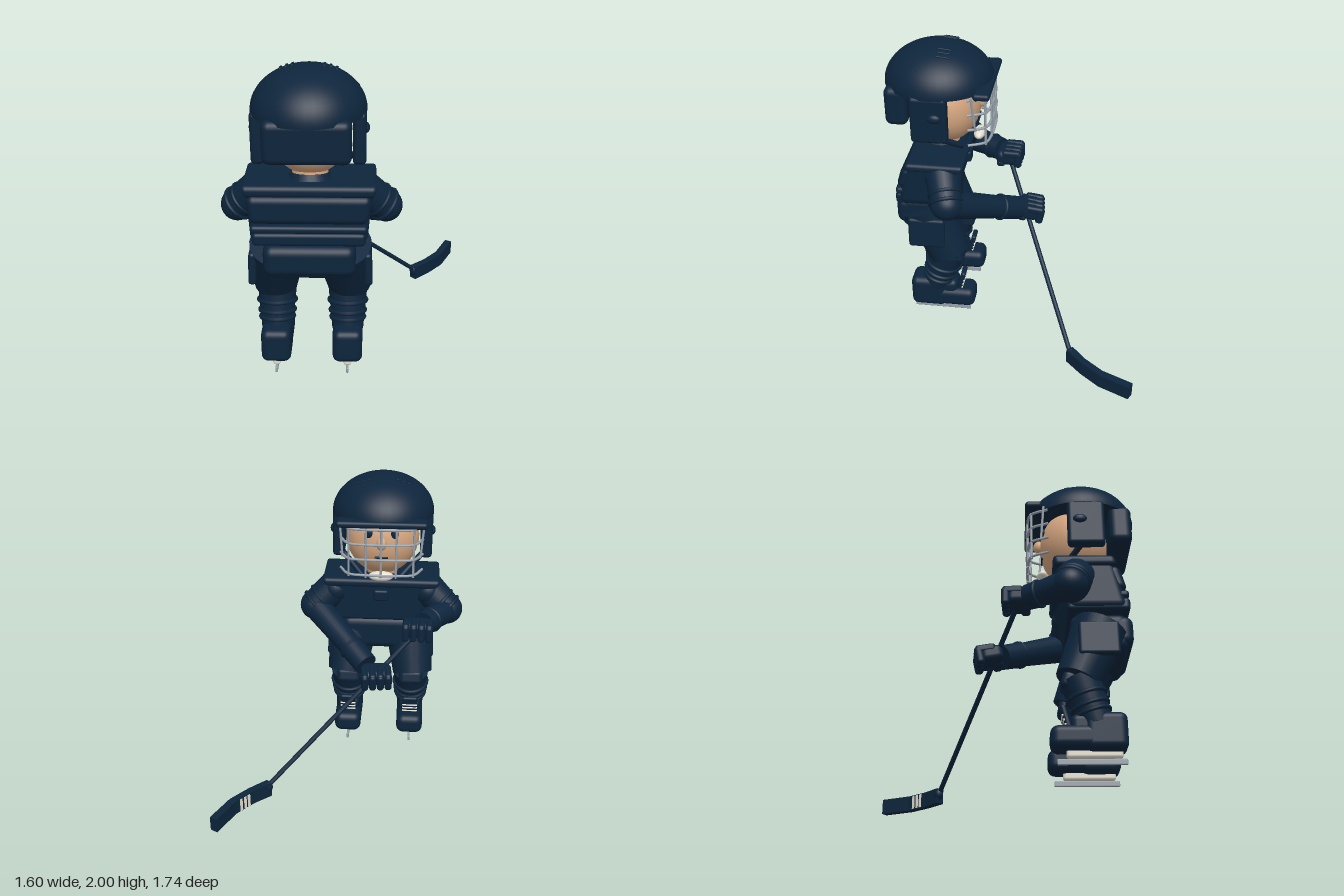
import * as THREE from 'three';
import { RoundedBoxGeometry } from 'three/addons/geometries/RoundedBoxGeometry.js';

const flat = (name, color) => {
  const m = new THREE.MeshStandardMaterial({ color });
  m.name = name;
  return m;
};
const V = (x, y, z) => new THREE.Vector3(x, y, z);

export function createModel() {
  const navy = flat('navy', 0x0d253c);
  const skin = flat('skin', 0xd6a781);
  const ivory = flat('ivory', 0xe4dfd0);
  const steel = flat('steel', 0x98a2ac);
  const CX = -0.23; // body centre line

  const root = new THREE.Group();
  root.name = 'hockeyPlayer';

  const group = (name, parent = root) => {
    const g = new THREE.Group();
    g.name = name;
    parent.add(g);
    return g;
  };
  const add = (parent, name, geo, mat, x = 0, y = 0, z = 0) => {
    const m = new THREE.Mesh(geo, mat);
    m.name = name;
    m.position.set(x, y, z);
    parent.add(m);
    return m;
  };
  const box = (parent, name, [w, h, d], [x, y, z], r = 0.03, mat = navy) =>
    add(parent, name, new RoundedBoxGeometry(w, h, d, 3, r), mat, x, y, z);
  const ball = (parent, name, [rx, ry, rz], [x, y, z], mat = navy) => {
    const m = add(parent, name, new THREE.SphereGeometry(1, 32, 20), mat, x, y, z);
    m.scale.set(rx, ry, rz);
    return m;
  };
  // Aligns a geometry's y axis with the line from a to b
  const along = (m, a, b) => {
    m.quaternion.setFromUnitVectors(V(0, 1, 0), b.clone().sub(a).normalize());
    return m;
  };
  const limb = (parent, name, a, b, ra, rb, mat = navy, sides = 24) => {
    const c = a.clone().lerp(b, 0.5);
    const geo = new THREE.CylinderGeometry(rb, ra, a.distanceTo(b), sides);
    return along(add(parent, name, geo, mat, c.x, c.y, c.z), a, b);
  };
  const band = (parent, name, a, b, t, r, tube = 0.014) => {
    const c = a.clone().lerp(b, t);
    const geo = new THREE.TorusGeometry(r, tube, 8, 28).rotateX(Math.PI / 2);
    return along(add(parent, name, geo, navy, c.x, c.y, c.z), a, b);
  };

  // ---- Head and face ----
  const head = group('head');
  ball(head, 'face', [0.25, 0.27, 0.225], [CX, 1.58, 0.465], skin);
  ball(head, 'nose', [0.035, 0.045, 0.04], [CX, 1.595, 0.235], skin);
  for (const s of [-1, 1]) {
    ball(head, 'eye', [0.026, 0.032, 0.012], [CX + s * 0.085, 1.655, 0.262]);
    const brow = box(head, 'eyebrow', [0.08, 0.016, 0.016], [CX + s * 0.09, 1.705, 0.275], 0.006);
    brow.rotation.z = s * 0.12;
  }
  box(head, 'mouth', [0.09, 0.014, 0.012], [CX, 1.49, 0.252], 0.005);
  limb(head, 'neck', V(CX, 1.26, 0.5), V(CX, 1.4, 0.48), 0.11, 0.11, skin);

  // ---- Helmet ----
  const helmet = group('helmet');
  const dome = add(helmet, 'dome',
    new THREE.SphereGeometry(1, 40, 16, 0, Math.PI * 2, 0, Math.PI / 2), navy, CX, 1.735, 0.51);
  dome.scale.set(0.345, 0.262, 0.36);
  const rim = add(helmet, 'domeUnderside', new THREE.CircleGeometry(1, 40).rotateX(Math.PI / 2), navy, CX, 1.736, 0.51);
  rim.scale.copy(dome.scale);
  box(helmet, 'brim', [0.6, 0.045, 0.11], [CX, 1.753, 0.195], 0.02);
  box(helmet, 'brimSeam', [0.02, 0.05, 0.1], [CX, 1.757, 0.2], 0.008);
  box(helmet, 'backPad', [0.515, 0.265, 0.15], [CX, 1.63, 0.76], 0.045);
  for (const s of [-1, 1]) {
    box(helmet, 'earPad', [0.08, 0.32, 0.24], [CX + s * 0.3, 1.59, 0.53], 0.025);
    ball(helmet, 'earButton', [0.025, 0.032, 0.046], [CX + s * 0.335, 1.61, 0.49]);
    limb(helmet, 'chinStrap', V(CX + s * 0.3, 1.46, 0.51), V(CX + s * 0.13, 1.315, 0.35), 0.02, 0.02);
    // Three vent slots on each side of the crown
    for (const i of [-1, 0, 1]) {
      const x = s * 0.13 + i * 0.036;
      const y = 1.735 + 0.262 * Math.sqrt(1 - (x / 0.345) ** 2 - 0.028);
      const vent = box(helmet, 'vent', [0.016, 0.012, 0.09], [CX + x, y, 0.45], 0.005);
      vent.rotation.set(-0.12, 0, -x * 2);
    }
  }
  const strapEnd = box(helmet, 'chinStrapBase', [0.26, 0.025, 0.05], [CX, 1.318, 0.36], 0.01);
  strapEnd.rotation.x = 0.3;
  ball(helmet, 'chinCup', [0.085, 0.034, 0.04], [CX, 1.357, 0.253], ivory);

  // ---- Face cage ----
  const cage = group('faceCage');
  for (const y of [1.72, 1.615, 1.51, 1.4]) {
    const path = new THREE.CatmullRomCurve3(
      [[-0.275, 0.29], [-0.215, 0.18], [-0.1, 0.157], [0.1, 0.157], [0.215, 0.18], [0.275, 0.29]]
        .map(([x, z]) => V(CX + x, y, z)));
    add(cage, 'crossBar', new THREE.TubeGeometry(path, 30, 0.009, 8), steel);
  }
  for (const [x, z] of [[-0.215, 0.18], [-0.1, 0.157], [0, 0.157], [0.1, 0.157], [0.215, 0.18]])
    limb(cage, 'uprightBar', V(CX + x, 1.385, z), V(CX + x, 1.74, z), 0.008, 0.008, steel, 8);
  for (const s of [-1, 1])
    limb(cage, 'sideBar', V(CX + s * 0.26, 1.5, 0.24), V(CX + s * 0.28, 1.74, 0.26), 0.008, 0.008, steel, 8);

  // ---- Jersey: boxes widened and leaned back as they go down ----
  const body = group('torso');
  const slab = (name, w, y0, y1, zFront, zBack, flare, lean, r) => {
    const h = y1 - y0;
    const geo = new RoundedBoxGeometry(w, h, zBack - zFront, 4, r);
    const p = geo.attributes.position;
    for (let i = 0; i < p.count; i++) {
      const t = 0.5 - p.getY(i) / h;
      p.setX(i, p.getX(i) * (1 + flare * t));
      p.setZ(i, p.getZ(i) + lean * (t - 0.5));
    }
    return add(body, name, geo, navy, CX, (y0 + y1) / 2, (zFront + zBack) / 2);
  };
  slab('chest', 0.76, 0.96, 1.29, 0.36, 0.73, -0.08, 0.08, 0.05);
  slab('shoulderYoke', 0.82, 1.235, 1.305, 0.31, 0.7, -0.05, 0.02, 0.03);
  slab('upperBackPanel', 0.75, 1.09, 1.25, 0.37, 0.745, -0.07, 0.05, 0.04);
  slab('jerseyBand', 0.7, 1.035, 1.085, 0.38, 0.775, 0, 0, 0.022);
  slab('jerseyHem', 0.68, 0.955, 1.04, 0.39, 0.78, 0, 0, 0.025);
  limb(body, 'collar', V(CX, 1.28, 0.5), V(CX, 1.318, 0.49), 0.14, 0.12);
  box(body, 'chestPatch', [0.1, 0.08, 0.04], [CX, 1.18, 0.33], 0.015);

  // ---- Shorts and legs ----
  box(body, 'pelvis', [0.56, 0.25, 0.36], [CX, 0.84, 0.59], 0.06);
  box(body, 'tailPad', [0.56, 0.2, 0.18], [CX, 0.85, 0.71], 0.055);
  for (const s of [-1, 1]) {
    const leg = group(s > 0 ? 'leftLeg' : 'rightLeg');
    leg.position.x = CX + s * 0.228;
    const hip = V(-s * 0.03, 0.88, 0.6), hem = V(s * 0.01, 0.52, 0.445);
    limb(leg, 'shortsLeg', hem, hip, 0.14, 0.18);
    const pad = box(leg, 'hipPad', [0.05, 0.22, 0.25], [s * 0.128, 0.75, 0.575], 0.02);
    pad.rotation.z = s * 0.04;

    const knee = V(0, 0.53, 0.46), ankle = V(0, 0.24, 0.55);
    limb(leg, 'sock', ankle, knee, 0.1, 0.128);
    for (const [t, r] of [[0.25, 0.107], [0.4, 0.112], [0.62, 0.12]]) band(leg, 'sockBand', ankle, knee, t, r);
    const kneePad = box(leg, 'kneePad', [0.17, 0.11, 0.09], [0, 0.51, 0.39], 0.035);
    kneePad.rotation.x = 0.25;

    // Skate, toe pointing to -z
    const skate = group('skate', leg);
    box(skate, 'bootHeel', [0.19, 0.23, 0.25], [0, 0.19, 0.6], 0.045);
    box(skate, 'bootToe', [0.19, 0.145, 0.42], [0, 0.155, 0.48], 0.05);
    box(skate, 'instep', [0.16, 0.12, 0.16], [0, 0.235, 0.47], 0.04);
    const tongue = box(skate, 'tongue', [0.11, 0.15, 0.035], [0, 0.285, 0.365], 0.015);
    tongue.rotation.x = -0.25;
    for (let i = 0; i < 3; i++)
      box(skate, 'lace', [0.11, 0.012, 0.014], [0, 0.235 + i * 0.028, 0.362 - i * 0.008], 0.005, ivory);
    box(skate, 'bladeHolder', [0.05, 0.065, 0.33], [0, 0.072, 0.53], 0.018, ivory);
    box(skate, 'blade', [0.016, 0.036, 0.41], [0, 0.02, 0.515], 0.006, steel);
  }

  // ---- Arms ----
  const arm = (name, shoulder, elbow, wrist) => {
    const g = group(name);
    ball(g, 'shoulder', [0.11, 0.11, 0.13], shoulder.toArray());
    limb(g, 'upperSleeve', elbow, shoulder, 0.105, 0.12);
    ball(g, 'elbow', [0.105, 0.105, 0.11], elbow.toArray());
    for (const t of [0.05, 0.35]) band(g, 'sleeveBand', elbow, shoulder, t, 0.106, 0.013);
    limb(g, 'forearm', elbow, wrist, 0.098, 0.07);
    limb(g, 'gloveCuff', elbow.clone().lerp(wrist, 0.72), wrist, 0.085, 0.08);
    band(g, 'cuffRing', elbow, wrist, 0.73, 0.08, 0.012);
    return g;
  };
  const glove = (parent, [x, y, z], tilt, turn) => {
    const g = group('glove', parent);
    g.position.set(x, y, z);
    g.rotation.set(tilt, turn, 0);
    box(g, 'palm', [0.2, 0.11, 0.15], [0, 0, 0.01], 0.04);
    for (let i = 0; i < 4; i++) {
      const fx = (i - 1.5) * 0.052;
      box(g, 'knuckle', [0.048, 0.055, 0.13], [fx, 0.035, -0.025], 0.02);
      box(g, 'finger', [0.048, 0.12, 0.055], [fx, -0.005, -0.07], 0.022);
    }
    box(g, 'thumb', [0.12, 0.05, 0.06], [0.04, -0.04, 0.05], 0.022);
  };
  const leftArm = arm('leftArm', V(0.09, 1.19, 0.45), V(0.235, 1.06, 0.405), V(-0.15, 0.82, -0.02));
  glove(leftArm, [-0.22, 0.785, -0.095], -0.2, 0.1);
  const rightArm = arm('rightArm', V(-0.55, 1.19, 0.45), V(-0.695, 1.06, 0.405), V(-0.53, 1.06, 0.15));
  glove(rightArm, [-0.49, 1.055, 0.085], 0, -0.05);

  // ---- Stick ----
  const stick = group('stick');
  limb(stick, 'shaft', V(0.49, 0.09, -0.455), V(-0.53, 1.07, 0.11), 0.016, 0.016, navy, 10);
  const edge = [[0.48, -0.455], [0.68, -0.665], [0.775, -0.855]];
  // Blade outline on the floor plane, extruded upwards
  const outline = new THREE.Shape([
    [0.455, -0.465], [0.56, -0.555], [0.66, -0.675], [0.75, -0.872],
    [0.796, -0.848], [0.705, -0.652], [0.6, -0.527], [0.492, -0.425],
  ].map(([x, z]) => new THREE.Vector2(x, -z)));
  const bladeGeo = new THREE.ExtrudeGeometry(outline, { depth: 0.1, bevelEnabled: false }).rotateX(-Math.PI / 2);
  add(stick, 'stickBlade', bladeGeo, navy, 0, 0.026, 0);
  // Pale stripes on the inner face of the blade
  for (const t of [0.3, 0.5, 0.72]) {
    const x = 0.56 + 0.1 * t, z = -0.555 - 0.12 * t;
    const stripe = add(stick, 'bladeStripe', new THREE.BoxGeometry(0.02, 0.09, 0.008), ivory, x, 0.076, z);
    stripe.rotation.y = Math.atan2(0.12, 0.1);
  }
  // Heel where the shaft meets the blade
  ball(stick, 'heel', [0.03, 0.04, 0.03], [edge[0][0], 0.09, edge[0][1]]);

  return root;
}
